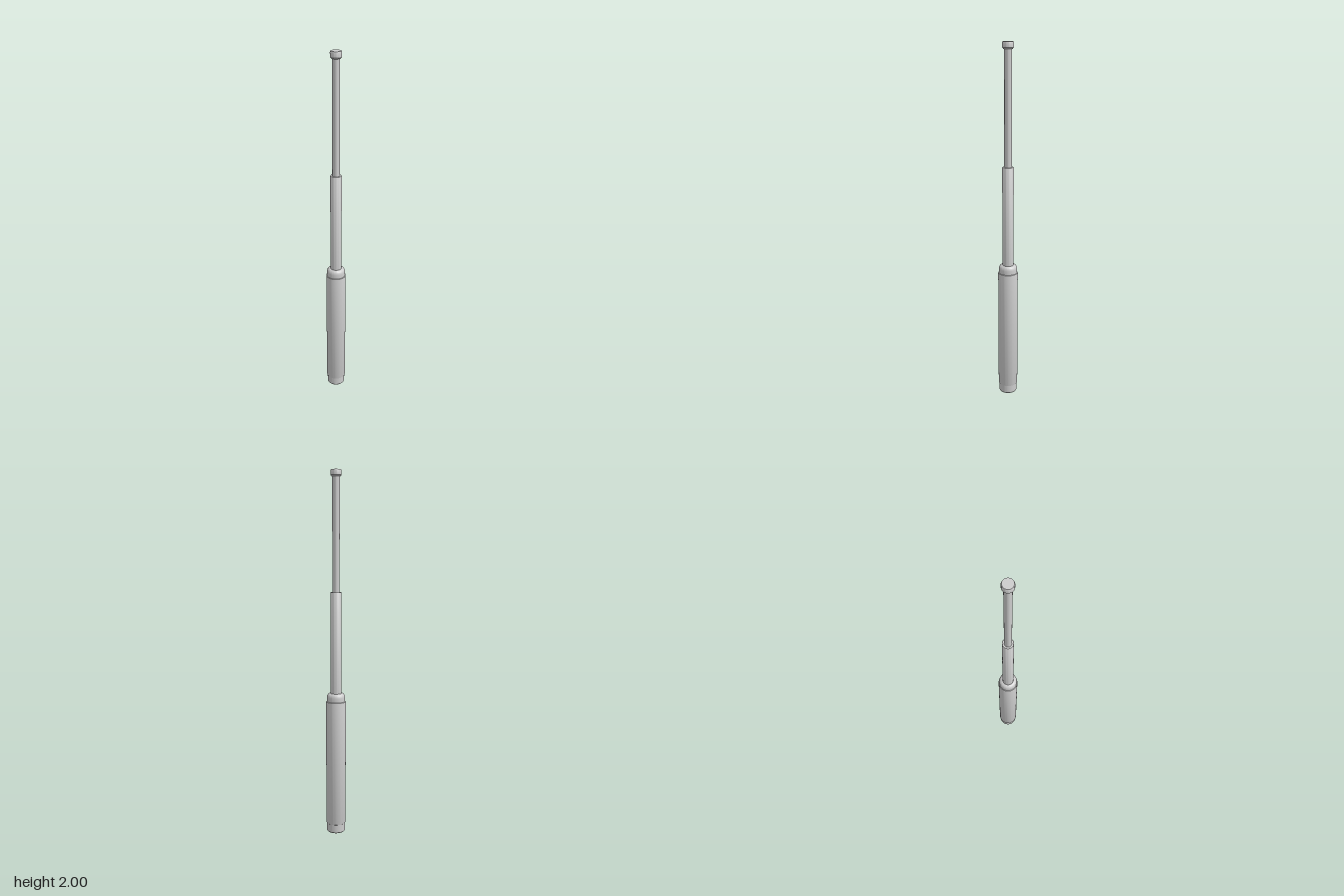
import * as THREE from 'three';
import { toCreasedNormals } from 'three/addons/utils/BufferGeometryUtils.js';

const material = new THREE.MeshStandardMaterial({ color: 0xcccccc });

// Turned solid from [radius, height] pairs, listed bottom to top
function turned(name, profile) {
  const points = profile.map(([r, y]) => new THREE.Vector2(r, y));
  const geometry = toCreasedNormals(new THREE.LatheGeometry(points, 48), 0.6);
  const mesh = new THREE.Mesh(geometry, material);
  mesh.name = name;
  return mesh;
}

export function createModel() {
  const group = new THREE.Group();
  group.name = 'telescopicBaton';

  group.add(
    // Narrower cap closing the foot of the handle
    turned('endCap', [[0, 0], [0.048, 0], [0.051, 0.004], [0.051, 0.052], [0, 0.052]]),

    // Handle with softened rims
    turned('grip', [
      [0, 0.049], [0.051, 0.049], [0.054, 0.051], [0.055, 0.055],
      [0.055, 0.749], [0.054, 0.753], [0.051, 0.755], [0, 0.755],
    ]),

    // Rounded collar where the shaft leaves the handle
    turned('collar', [
      [0, 0.75], [0.051, 0.75], [0.051, 0.778], [0.049, 0.787],
      [0.045, 0.794], [0.039, 0.799], [0.034, 0.8], [0, 0.8],
    ]),

    // Telescoping tubes
    turned('middleShaft', [[0, 0.78], [0.031, 0.78], [0.031, 1.353], [0.029, 1.357], [0, 1.357]]),
    turned('upperShaft', [[0, 1.34], [0.02, 1.34], [0.02, 1.975], [0, 1.975]]),

    // Striking tip with bevelled edges
    turned('tip', [
      [0, 1.964], [0.024, 1.964], [0.03, 1.971],
      [0.03, 1.993], [0.027, 2], [0, 2],
    ]),
  );
  return group;
}
